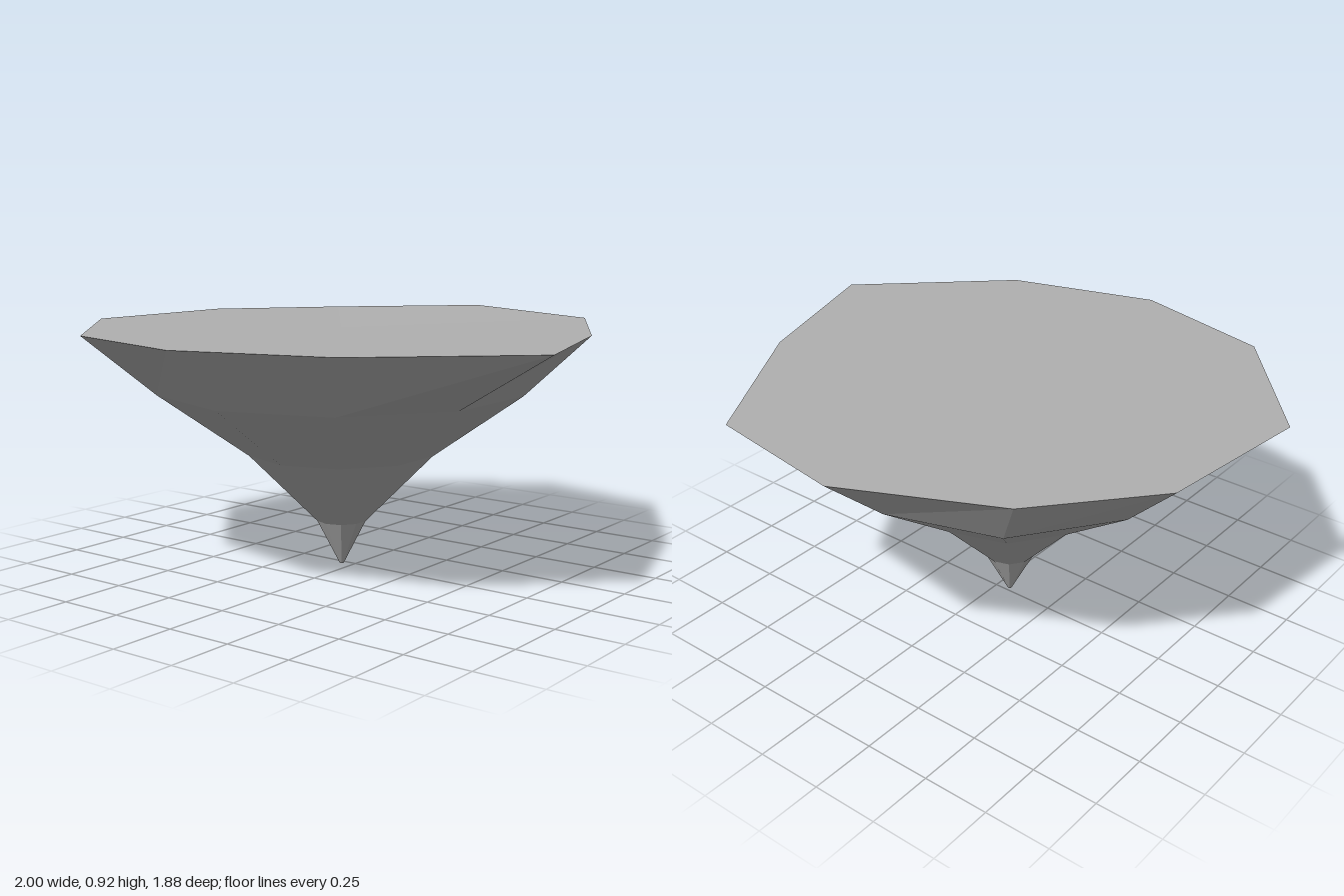
import * as THREE from 'three';

const SIDES = 10;
const CENTER = { x: -0.05, z: 0.02 };

// Height and radius of each ring, from the tip up to the rim
const RINGS = [[0, 0.008], [0.17, 0.095], [0.435, 0.355], [0.675, 0.69], [0.9, 0.92]];

// Uneven rim corners (x, y, z), starting at the front and turning towards +x
const RIM = [
  [-0.05, 0.9, 0.935], [0.5, 0.9, 0.76], [1, 0.9, 0.3], [0.83, 0.9, -0.27], [0.5, 0.9, -0.84],
  [-0.06, 0.915, -0.94], [-0.59, 0.9, -0.66], [-0.93, 0.9, -0.27], [-1, 0.9, 0.33], [-0.59, 0.9, 0.81],
];

// Unit prism with four bands, reshaped ring by ring into a tapering rock
function rockGeometry() {
  const bands = RINGS.length - 1;
  const prism = new THREE.CylinderGeometry(1, 1, bands, SIDES, bands);
  const p = prism.attributes.position;
  for (let i = 0; i < p.count; i++) {
    const x = p.getX(i), z = p.getZ(i);
    const row = Math.round(p.getY(i) + bands / 2);
    const onRing = Math.hypot(x, z) > 0.5;
    const [height, radius] = RINGS[row];
    if (onRing && row === bands) {
      const corner = Math.round((Math.atan2(x, z) / (2 * Math.PI)) * SIDES);
      p.setXYZ(i, ...RIM[(corner + SIDES) % SIDES]);
    } else {
      p.setXYZ(i, CENTER.x + x * radius, height, CENTER.z + z * radius);
    }
  }
  // Separate triangles give faceted normals
  const rock = prism.toNonIndexed();
  rock.computeVertexNormals();
  return rock;
}

export function createModel() {
  const group = new THREE.Group();
  group.name = 'floatingRock';

  const stone = new THREE.MeshStandardMaterial({ color: 0xb0b0b0 });
  stone.name = 'grey stone';

  const rock = new THREE.Mesh(rockGeometry(), stone);
  rock.name = 'rock';
  group.add(rock);
  return group;
}
